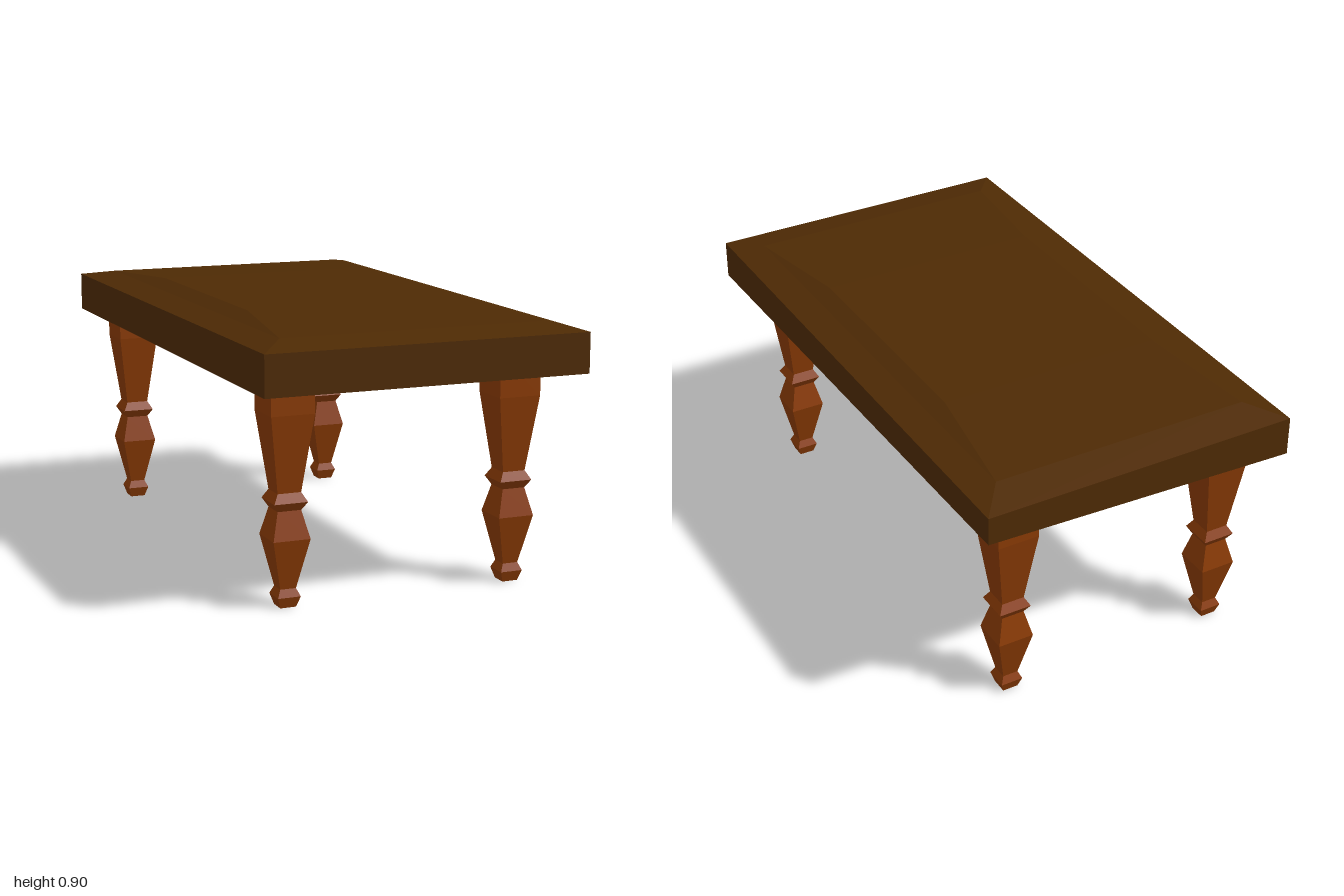
import * as THREE from 'three';

const topWood = new THREE.MeshStandardMaterial({ color: 0x4e2a04 });
topWood.name = 'dark wood';
const legWood = new THREE.MeshStandardMaterial({ color: 0x893a04 });
legWood.name = 'reddish wood';

// Non-indexed copy with one normal per face, for crisp facets
function faceted(geometry) {
  const flat = geometry.index ? geometry.toNonIndexed() : geometry;
  flat.computeVertexNormals();
  return flat;
}

// Domed slab: stacked rectangles from the hollowed underside, round the rim, to the flat crown
function tabletopGeometry() {
  const corners = [[1, 1], [1, -1], [-1, -1], [-1, 1]];
  const rings = [
    [0.4, 0.775, 0.43], [0.46, 0.741, 0.87], [0.56, 0.724, 1],
    [0.56, 0.86, 1], [0.46, 0.883, 0.87], [0.4, 0.905, 0.43],
  ].map(([x, y, z]) => corners.map(([sx, sz]) => [sx * x, y, sz * z]));
  rings[1][1][1] = 0.765; // one lower corner sits higher than the rest
  rings[2][1][1] = 0.762;

  const positions = [];
  const quad = (a, b, c, d) => positions.push(...a, ...b, ...c, ...a, ...c, ...d);
  for (let r = 0; r < rings.length - 1; r++) {
    for (let i = 0; i < 4; i++) {
      const j = (i + 1) % 4;
      quad(rings[r][i], rings[r][j], rings[r + 1][j], rings[r + 1][i]);
    }
  }
  quad(...rings[5]);
  quad(...rings[0].slice().reverse());
  const geometry = new THREE.BufferGeometry();
  geometry.setAttribute('position', new THREE.Float32BufferAttribute(positions, 3));
  return faceted(geometry);
}

// Square turned leg: [half width, height] profile swept with four sides
function legGeometry() {
  const profile = [
    [0, 0], [0.027, 0], [0.039, 0.036], [0.027, 0.062], [0.063, 0.229], [0.04, 0.321],
    [0.057, 0.349], [0.04, 0.379], [0.0735, 0.635], [0.0735, 0.78], [0, 0.78],
  ].map(([w, y]) => new THREE.Vector2(w * Math.SQRT2, y));
  return faceted(new THREE.LatheGeometry(profile, 4).rotateY(Math.PI / 4));
}

export function createModel() {
  const table = new THREE.Group();
  table.name = 'table';

  const top = new THREE.Mesh(tabletopGeometry(), topWood);
  top.name = 'tabletop';
  table.add(top);

  const geometry = legGeometry();
  for (const [side, x] of [['Left', 0.387], ['Right', -0.41]]) {
    for (const [end, z] of [['front', 0.784], ['back', -0.815]]) {
      const leg = new THREE.Mesh(geometry, legWood);
      leg.name = `${end}${side}Leg`;
      leg.position.set(x, 0, z);
      table.add(leg);
    }
  }
  return table;
}
